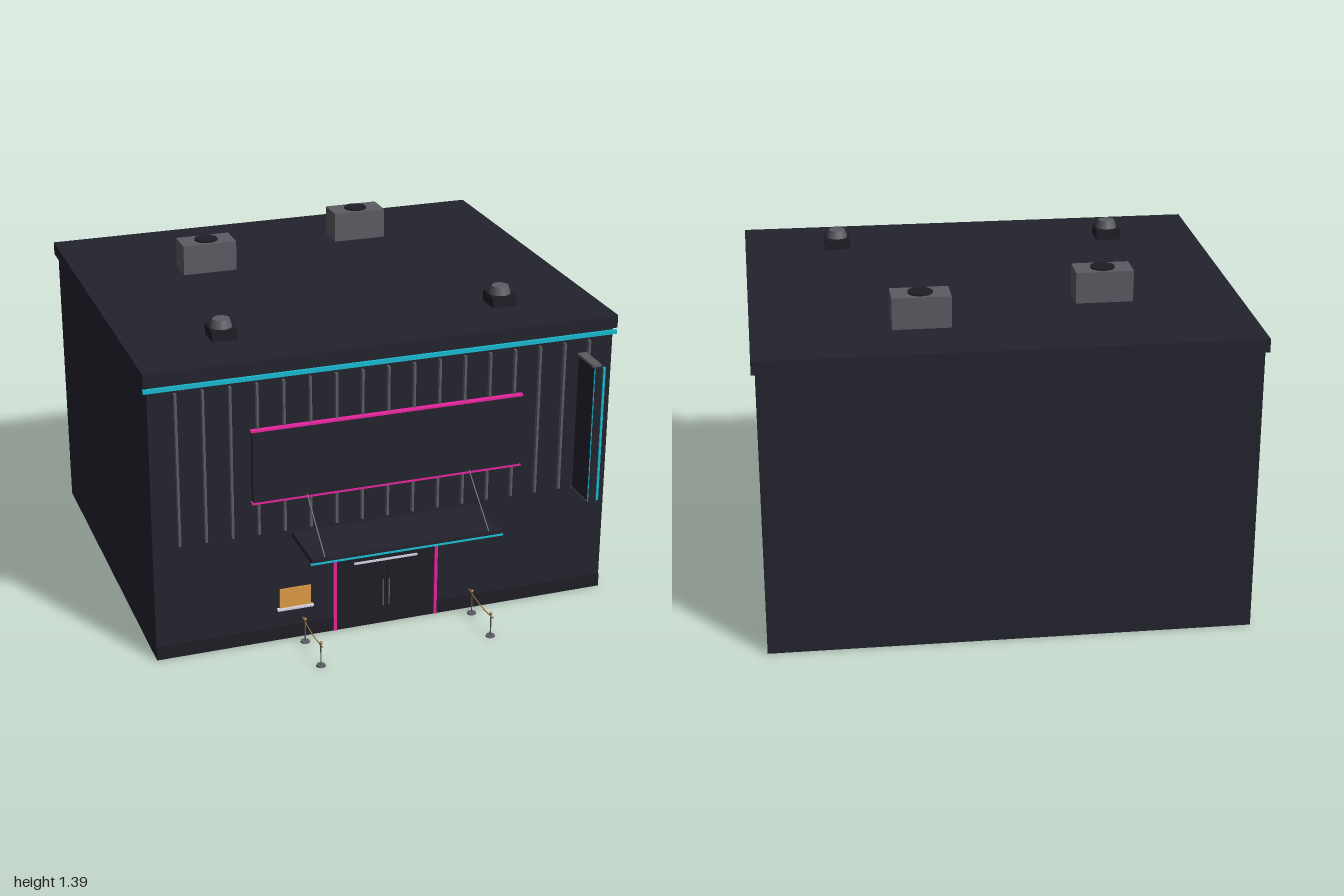
import * as THREE from 'three';

const mat = (name, color) => {
  const m = new THREE.MeshStandardMaterial({ color });
  m.name = name;
  return m;
};

export function createModel() {
  const wall = mat('charcoal wall', 0x23232e);
  const trim = mat('dark trim', 0x1d1e25);
  const metal = mat('grey metal', 0x5a5c63);
  const cyan = mat('cyan neon', 0x18bcd4);
  const magenta = mat('magenta neon', 0xe8249f);
  const amber = mat('amber glass', 0xdf9c44);
  const pale = mat('pale light', 0xd4d4e4);
  const brass = mat('brass', 0xa87a42);

  const model = new THREE.Group();
  model.name = 'nightclub';

  const add = (name, geometry, material, x = 0, y = 0, z = 0, parent = model) => {
    const mesh = new THREE.Mesh(geometry, material);
    mesh.name = name;
    mesh.position.set(x, y, z);
    parent.add(mesh);
    return mesh;
  };
  // Box given by its min and max on each axis
  const box = (name, material, x0, x1, y0, y1, z0, z1, parent = model) =>
    add(name, new THREE.BoxGeometry(x1 - x0, y1 - y0, z1 - z0), material,
      (x0 + x1) / 2, (y0 + y1) / 2, (z0 + z1) / 2, parent);
  const cyl = (name, material, rTop, rBottom, y0, y1, x, z, parent = model, sides = 16) =>
    add(name, new THREE.CylinderGeometry(rTop, rBottom, y1 - y0, sides), material,
      x, (y0 + y1) / 2, z, parent);
  const group = (name) => {
    const g = new THREE.Group();
    g.name = name;
    model.add(g);
    return g;
  };

  // Main block, roof slab and base
  box('building', wall, -0.985, 0.985, 0, 1.2, -0.96, 0.685);
  box('roofSlab', wall, -1, 1, 1.2, 1.255, -0.975, 0.697);
  box('plinth', trim, -0.985, 0.985, 0, 0.06, 0.685, 0.69);
  box('corniceNeon', cyan, -1, 1, 1.172, 1.19, 0.685, 0.695);

  // Vertical facade fins
  const fins = group('facadeFins');
  for (let i = -8; i <= 8; i++) {
    const x = i * 0.1095;
    box('fin', metal, x - 0.005, x + 0.005, 0.505, 1.16, 0.685, 0.704, fins);
  }

  // Blank sign panel with neon edges
  const sign = group('signPanel');
  box('panel', wall, -0.575, 0.575, 0.652, 0.964, 0.695, 0.716, sign);
  for (const y of [0.652, 0.965])
    box('panelNeon', magenta, -0.58, 0.58, y - 0.004, y + 0.004, 0.696, 0.719, sign);

  // Projecting blade sign
  const blade = group('bladeSign');
  box('blade', wall, 0.83, 0.87, 0.505, 1.095, 0.7, 0.85, blade);
  box('bladeTopBracket', metal, 0.83, 0.87, 1.095, 1.105, 0.685, 0.83, blade);
  box('bladeBottomBracket', metal, 0.83, 0.87, 0.496, 0.505, 0.685, 0.83, blade);
  box('bladeNeon', cyan, 0.866, 0.876, 0.505, 1.1, 0.845, 0.855, blade);
  box('bladeEdge', cyan, 0.828, 0.831, 0.505, 1.1, 0.848, 0.853, blade);

  // Entrance canopy with tie rods
  const canopy = group('canopy');
  box('canopySlab', wall, -0.405, 0.405, 0.462, 0.484, 0.685, 0.94, canopy);
  box('canopyNeon', cyan, -0.41, 0.41, 0.461, 0.468, 0.938, 0.945, canopy);
  box('soffitLight', metal, -0.3, 0.3, 0.456, 0.462, 0.82, 0.84, canopy);
  for (const s of [-1, 1]) {
    const path = new THREE.LineCurve3(
      new THREE.Vector3(s * 0.35, 0.68, 0.69), new THREE.Vector3(s * 0.35, 0.484, 0.935));
    add('tieRod', new THREE.TubeGeometry(path, 1, 0.003, 8), metal, 0, 0, 0, canopy);
  }

  // Doors with neon frame, handles and light bar
  const entrance = group('entrance');
  for (const s of [-1, 1]) {
    const doorMid = s * 0.109;
    box('door', trim, doorMid - 0.106, doorMid + 0.106, 0.06, 0.435, 0.685, 0.689, entrance);
    const handle = cyl('doorHandle', metal, 0.003, 0.003, 0.085, 0.205, s * 0.013, 0.695, entrance, 8);
    handle.scale.x = 1.2;
    box('frameSide', magenta, s * 0.223 - 0.0065, s * 0.223 + 0.0065, 0, 0.445, 0.685, 0.693, entrance);
  }
  box('frameTop', magenta, -0.229, 0.229, 0.435, 0.445, 0.685, 0.693, entrance);
  box('lightBar', pale, -0.14, 0.137, 0.293, 0.302, 0.689, 0.694, entrance);

  // Ticket window
  const ticket = group('ticketWindow');
  box('windowGlass', amber, -0.462, -0.328, 0.145, 0.233, 0.685, 0.69, ticket);
  box('windowSill', pale, -0.474, -0.318, 0.138, 0.146, 0.685, 0.702, ticket);

  // Rope barriers either side of the door
  for (const x of [-0.37, 0.37]) {
    const barrier = group('ropeBarrier');
    for (const z of [0.74, 0.943]) {
      cyl('postBase', metal, 0.018, 0.02, 0, 0.006, x, z, barrier);
      cyl('post', metal, 0.003, 0.003, 0.006, 0.104, x, z, barrier, 8);
      add('postBall', new THREE.SphereGeometry(0.007, 10, 8), brass, x, 0.106, z, barrier);
    }
    const sag = new THREE.QuadraticBezierCurve3(
      new THREE.Vector3(x, 0.099, 0.974), new THREE.Vector3(x, 0.074, 0.84),
      new THREE.Vector3(x, 0.099, 0.706));
    add('rope', new THREE.TubeGeometry(sag, 16, 0.0025, 6), brass, 0, 0, 0, barrier);
  }

  // Rooftop air units
  for (const [x, z] of [[-0.438, -0.413], [0.327, -0.633]]) {
    const unit = group('airUnit');
    box('unitCasing', metal, x - 0.118, x + 0.118, 1.255, 1.385, z - 0.063, z + 0.063, unit);
    cyl('unitFan', trim, 0.05, 0.05, 1.385, 1.391, x, z, unit, 20);
  }

  // Rooftop vents
  for (const x of [-0.605, 0.598]) {
    const vent = group('roofVent');
    box('ventBase', trim, x - 0.053, x + 0.053, 1.255, 1.3, 0.352, 0.458, vent);
    cyl('ventCap', metal, 0.035, 0.045, 1.3, 1.333, x, 0.405, vent);
  }

  return model;
}
